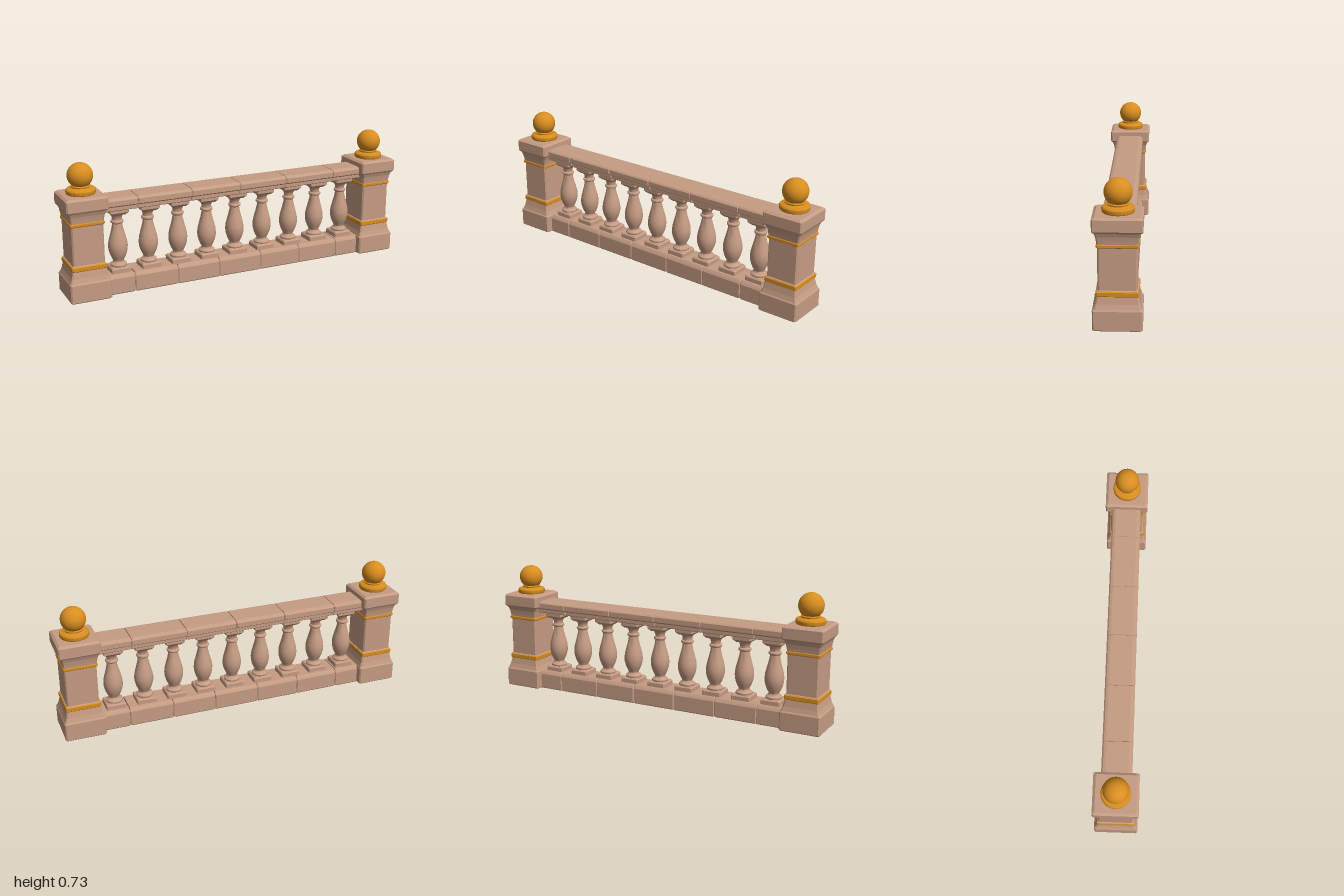
import * as THREE from 'three';
import { toCreasedNormals } from 'three/addons/utils/BufferGeometryUtils.js';

const stone = new THREE.MeshStandardMaterial({ color: 0xc69c83 });
stone.name = 'stone';
const gold = new THREE.MeshStandardMaterial({ color: 0xd98e20 });
gold.name = 'gold';

// Stacks rectangles with cut corners; rows are [y, half width x, half depth z]
function loft(rows, cut = 0.005) {
  const rings = rows.map(([y, x, z]) => [
    [x, -z + cut], [x, z - cut], [x - cut, z], [-x + cut, z],
    [-x, z - cut], [-x, -z + cut], [-x + cut, -z], [x - cut, -z],
  ].map(([px, pz]) => [px, y, pz]));
  const out = [];
  const tri = (...corners) => corners.forEach((p) => out.push(...p));
  const last = rings.length - 1;
  const bottom = [0, rows[0][0], 0], top = [0, rows[last][0], 0];
  for (let i = 0; i < 8; i++) {
    const j = (i + 1) % 8;
    for (let k = 0; k < last; k++) {
      const lo = rings[k], hi = rings[k + 1];
      tri(lo[i], hi[i], lo[j]);
      tri(lo[j], hi[i], hi[j]);
    }
    tri(bottom, rings[0][i], rings[0][j]);
    tri(top, rings[last][j], rings[last][i]);
  }
  const g = new THREE.BufferGeometry();
  g.setAttribute('position', new THREE.Float32BufferAttribute(out, 3));
  g.computeVertexNormals();
  return g;
}

// Turned shape; points are [radius, y]
function turned(points, sides = 24) {
  const g = new THREE.LatheGeometry(points.map(([r, y]) => new THREE.Vector2(r, y)), sides);
  return toCreasedNormals(g, 0.6);
}

function add(parent, name, geometry, material, x = 0, y = 0) {
  const mesh = new THREE.Mesh(geometry, material);
  mesh.name = name;
  mesh.position.set(x, y, 0);
  parent.add(mesh);
  return mesh;
}

// Row of bevelled blocks meeting at the given joints
function blockRow(parent, name, joints, rows) {
  for (let i = 0; i < joints.length - 1; i++) {
    const half = (joints[i + 1] - joints[i]) / 2;
    const geometry = loft(rows.map(([y, inset, z]) => [y, half - inset, z]), 0.004);
    add(parent, name, geometry, stone, (joints[i] + joints[i + 1]) / 2);
  }
}

export function createModel() {
  const model = new THREE.Group();
  model.name = 'balustrade';

  // End posts with gilded bands and ball finials
  const postBody = loft([
    [0, 0.106, 0.114], [0.006, 0.113, 0.121], [0.103, 0.113, 0.121], [0.111, 0.108, 0.115],
    [0.135, 0.099, 0.107], [0.172, 0.092, 0.1], [0.198, 0.092, 0.1], [0.201, 0.087, 0.095],
    [0.412, 0.087, 0.095], [0.416, 0.09, 0.098], [0.432, 0.09, 0.098], [0.448, 0.092, 0.1],
    [0.47, 0.096, 0.104], [0.489, 0.103, 0.111], [0.492, 0.108, 0.116], [0.5, 0.113, 0.121],
    [0.557, 0.113, 0.121], [0.567, 0.1, 0.107],
  ], 0.007);
  const lowerBand = loft([
    [0.17, 0.092, 0.1], [0.174, 0.096, 0.104], [0.193, 0.096, 0.104], [0.198, 0.091, 0.099],
  ]);
  const upperBand = loft([
    [0.414, 0.09, 0.098], [0.417, 0.093, 0.101], [0.428, 0.093, 0.101], [0.431, 0.09, 0.098],
  ]);
  const finialBase = turned([
    [0, 0.566], [0.075, 0.566], [0.079, 0.572], [0.079, 0.588], [0.074, 0.595], [0.056, 0.597],
    [0.049, 0.601], [0.051, 0.608], [0.046, 0.612], [0, 0.614],
  ], 32);
  const ball = new THREE.SphereGeometry(0.068, 32, 20);
  for (const side of [-1, 1]) {
    const post = new THREE.Group();
    post.name = side > 0 ? 'leftPost' : 'rightPost';
    post.position.x = side * 0.887;
    add(post, 'postBody', postBody, stone);
    add(post, 'lowerBand', lowerBand, gold);
    add(post, 'upperBand', upperBand, gold);
    add(post, 'finialBase', finialBase, gold);
    add(post, 'finialBall', ball, gold, 0, 0.663);
    model.add(post);
  }

  // Base course and handrail, built from separate blocks
  blockRow(model, 'baseBlock', [-0.8, -0.63, -0.38, -0.13, 0.13, 0.38, 0.63, 0.8], [
    [0, 0.004, 0.078], [0.005, 0.0005, 0.082], [0.088, 0.0005, 0.082],
    [0.098, 0.0005, 0.076], [0.108, 0.003, 0.068],
  ]);
  const railJoints = [-0.82, -0.6, -0.29, 0, 0.29, 0.6, 0.82];
  blockRow(model, 'railUnderside', railJoints, [
    [0.462, 0.002, 0.06], [0.466, 0.0005, 0.065], [0.484, 0.0005, 0.065], [0.491, 0.0005, 0.072],
  ]);
  blockRow(model, 'handrail', railJoints, [
    [0.489, 0.003, 0.076], [0.494, 0.0005, 0.082], [0.521, 0.0005, 0.082],
    [0.529, 0.001, 0.074], [0.533, 0.003, 0.06],
  ]);

  // Nine balusters: square plinth, turned vase and square cap
  const plinth = loft([
    [0.1, 0.055, 0.055], [0.13, 0.055, 0.055], [0.137, 0.049, 0.049],
  ]);
  const vase = turned([
    [0.042, 0.133], [0.046, 0.139], [0.046, 0.146], [0.041, 0.152], [0.033, 0.156],
    [0.029, 0.164], [0.031, 0.171], [0.038, 0.184], [0.046, 0.204], [0.052, 0.228],
    [0.053, 0.25], [0.05, 0.275], [0.043, 0.303], [0.035, 0.332], [0.029, 0.358],
    [0.027, 0.376], [0.034, 0.381], [0.036, 0.387], [0.034, 0.393], [0.027, 0.397],
    [0.027, 0.408], [0.031, 0.42], [0.039, 0.43], [0.044, 0.438],
  ]);
  const cap = loft([
    [0.43, 0.04, 0.04], [0.44, 0.05, 0.05], [0.444, 0.054, 0.054], [0.466, 0.054, 0.054],
  ]);
  for (let i = 0; i < 9; i++) {
    const baluster = new THREE.Group();
    baluster.name = 'baluster' + (i + 1);
    baluster.position.x = (i - 4) * 0.1742;
    add(baluster, 'plinth', plinth, stone);
    add(baluster, 'vase', vase, stone);
    add(baluster, 'cap', cap, stone);
    model.add(baluster);
  }
  return model;
}
